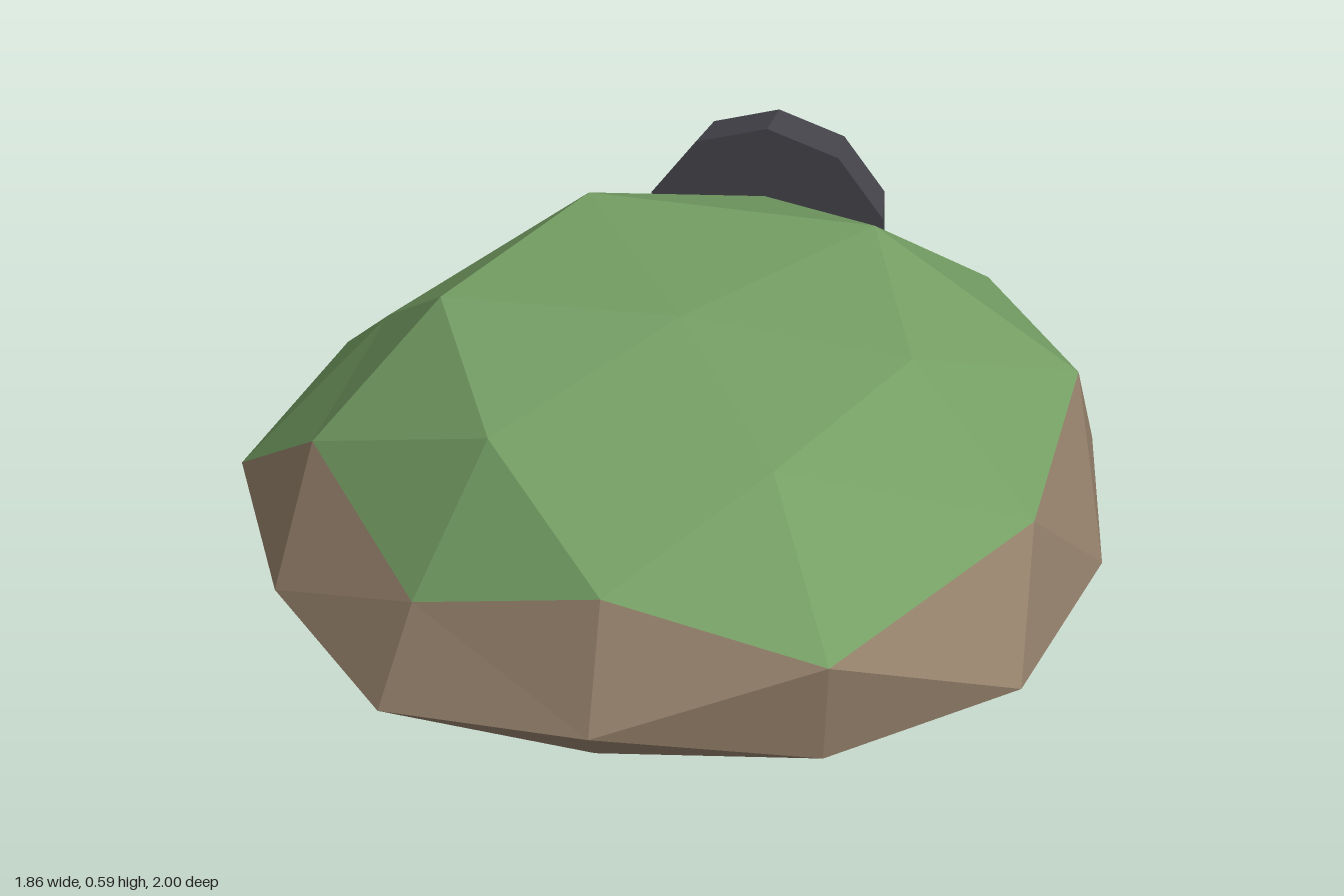
import * as THREE from 'three';

export function createModel() {
  const group = new THREE.Group();
  const mat = (name, color) => {
    const m = new THREE.MeshStandardMaterial({ color });
    m.name = name;
    m.flatShading = true;
    return m;
  };
  const grass = mat('grass green', 0x76a065);
  const earth = mat('earth brown', 0x97836d);
  const dark = mat('dark door', 0x45444b);
  const add = (name, geo, material) => {
    const mesh = new THREE.Mesh(geo, material);
    mesh.name = name;
    group.add(mesh);
    return mesh;
  };

  // Mound: a flattened icosphere, uneven radii, cut flat at the base
  // Each row is a direction followed by its radius
  const bumps = [
    [0, 1, 0, 0.88], [0, 0, 1, 0.92], [0, 0, -1, 1.01], [1, 0, 0, 0.91], [-1, 0, 0, 0.95],
    [0.85, 0, 0.53, 1.0], [0.85, 0, -0.53, 0.92], [-0.85, 0, 0.53, 0.91], [-0.85, 0, -0.53, 0.98],
    [0.81, 0.5, 0.31, 1.03], [0.81, 0.5, -0.31, 0.98], [-0.81, 0.5, 0.31, 0.91], [-0.81, 0.5, -0.31, 0.855],
    [0.5, 0.31, 0.81, 0.99], [0.5, 0.31, -0.81, 0.98], [-0.5, 0.31, 0.81, 0.86], [-0.5, 0.31, -0.81, 0.89],
    [0.53, 0.85, 0, 0.95], [-0.53, 0.85, 0, 0.99], [0, 0.53, 0.85, 0.94], [0, 0.53, -0.85, 0.97],
    [0.5, -0.31, -0.81, 1.01], [-0.5, -0.31, -0.81, 0.93], [0.5, -0.31, 0.81, 0.95], [-0.5, -0.31, 0.81, 0.97],
    [0.81, -0.5, 0.31, 0.9], [0.81, -0.5, -0.31, 0.9], [-0.81, -0.5, 0.31, 0.98], [-0.81, -0.5, -0.31, 0.95],
  ];
  const radius = (v) => {
    const hit = bumps.find((b) => Math.hypot(v.x - b[0], v.y - b[1], v.z - b[2]) < 0.05);
    return hit ? hit[3] : 1;
  };
  const ball = new THREE.IcosahedronGeometry(1, 1).getAttribute('position');
  const sides = { grass: [], earth: [] };
  for (let i = 0; i < ball.count; i += 3) {
    const tri = [0, 1, 2].map((k) => new THREE.Vector3().fromBufferAttribute(ball, i + k));
    const mid = tri[0].clone().add(tri[1]).add(tri[2]).divideScalar(3);
    // Grass covers the crown and runs low on the back right
    const crown = tri.every((v) => v.y > 0.3);
    const low = mid.x < -0.6 && mid.z < 0.1 && mid.y > 0.05;
    const list = crown || low ? sides.grass : sides.earth;
    for (const v of tri) {
      const r = radius(v);
      list.push(0.02 + v.x * r, Math.max(0.035, 0.11 + v.y * r * 0.56), 0.08 + v.z * r);
    }
  }
  for (const [name, material] of [['grass', grass], ['earth', earth]]) {
    const geo = new THREE.BufferGeometry();
    geo.setAttribute('position', new THREE.Float32BufferAttribute(sides[name], 3));
    geo.computeVertexNormals();
    add(name + 'Mound', geo, material);
  }

  // Tapered round door set into the back
  const doorGeo = new THREE.CylinderGeometry(0.277, 0.252, 0.12, 10);
  doorGeo.rotateX(Math.PI / 2);
  doorGeo.scale(0.95, 1, 1);
  add('door', doorGeo, dark).position.set(0.025, 0.287, -0.805);

  // Arc of small stones before the door
  const stones = [[-0.33, -0.88, 0.4], [-0.18, -0.915, 1.3], [0.0, -0.94, 0], [0.2, -0.935, 2.1], [0.36, -0.89, 2.8]];
  stones.forEach(([x, z, turn], i) => {
    const geo = new THREE.IcosahedronGeometry(1, 0);
    geo.rotateY(turn);
    geo.scale(0.1, 0.048, 0.068);
    add('stone' + (i + 1), geo, earth).position.set(x, 0.05, z);
  });
  return group;
}
